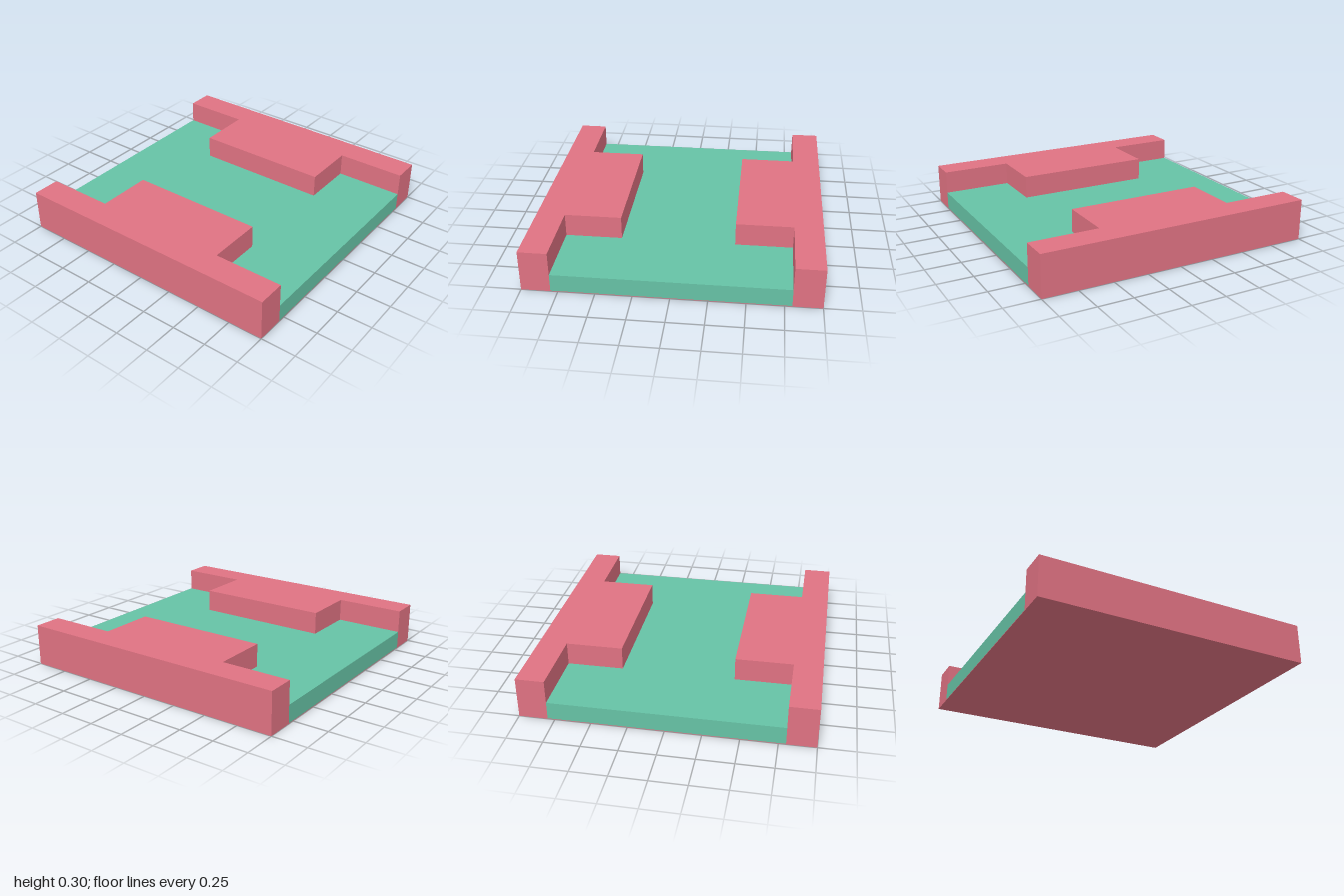
import * as THREE from 'three';

const PINK = new THREE.MeshStandardMaterial({ color: 0xdf7282 });
const GREEN = new THREE.MeshStandardMaterial({ color: 0x66c2a5 });

const DECK_TOP = 0.13, TOP = 0.295, SKIN = 0.004;

function box(name, material, w, h, d, y) {
  const mesh = new THREE.Mesh(new THREE.BoxGeometry(w, h, d), material);
  mesh.name = name;
  mesh.position.y = y + h / 2;
  return mesh;
}

// Plan outline in x and z, extruded upward between two heights
function slab(name, outline, y0, y1) {
  const shape = new THREE.Shape(outline.map(([x, z]) => new THREE.Vector2(x, -z)));
  const geometry = new THREE.ExtrudeGeometry(shape, { depth: y1 - y0, bevelEnabled: false });
  geometry.rotateX(-Math.PI / 2);
  geometry.translate(0, y0, 0);
  const mesh = new THREE.Mesh(geometry, PINK);
  mesh.name = name;
  return mesh;
}

export function createModel() {
  const group = new THREE.Group();
  group.name = 'channelTile';

  // Deck between the rails, with a thin skin closing the underside
  group.add(box('deck', GREEN, 1.6, DECK_TOP - SKIN, 2, SKIN));
  group.add(box('underside', PINK, 1.6, SKIN, 2, 0));

  // Side rails, each with a block reaching inward over the deck
  for (const [side, s] of [['left', 1], ['right', -1]]) {
    const mirror = (points) => points.map(([x, z]) => [s * x, z]);
    group.add(slab(side + 'RailBase', mirror([[0.8, 1], [1, 1], [1, -1], [0.8, -1]]), 0, DECK_TOP));
    group.add(slab(side + 'RailAndBlock', mirror([
      [0.8, 1], [1, 1], [1, -1], [0.8, -1],
      [0.8, -0.5], [0.4, -0.5], [0.4, 0.5], [0.8, 0.5],
    ]), DECK_TOP, TOP));
  }
  return group;
}
